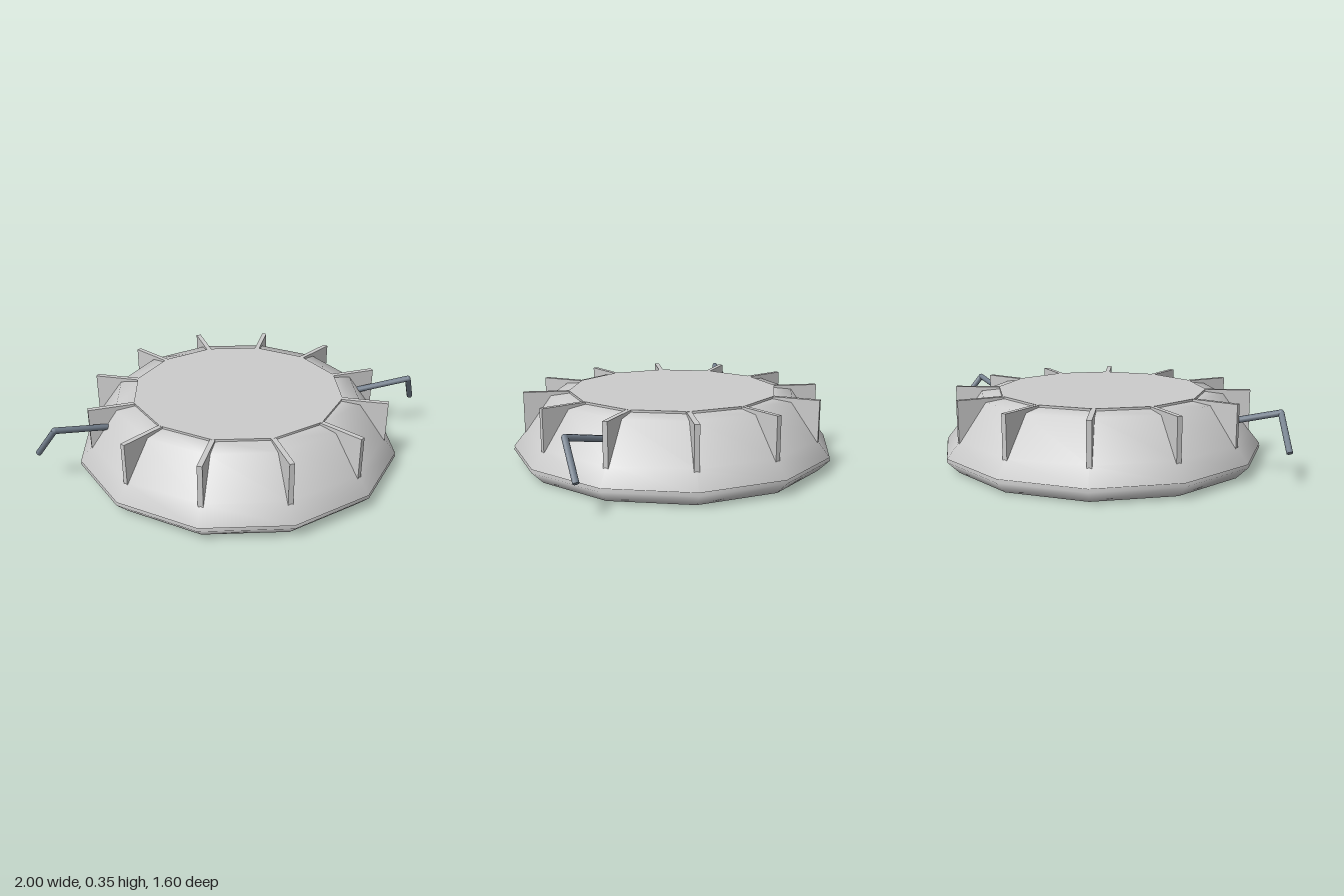
import * as THREE from 'three';

const SIDES = 12;

export function createModel() {
  const root = new THREE.Group();
  const grey = new THREE.MeshStandardMaterial({ color: 0xcccccc });
  const steel = new THREE.MeshStandardMaterial({ color: 0x75818f });

  function add(name, geometry, material = grey, parent = root) {
    const mesh = new THREE.Mesh(geometry, material);
    mesh.name = name;
    parent.add(mesh);
    return mesh;
  }

  // Twelve-sided body: tucked-in foot, steep wall, softly rounded shoulder
  const profile = [[0.775, 0.064], [0.798, 0.073], [0.735, 0.152], [0.61, 0.326], [0.515, 0.337]]
    .map(([r, y]) => new THREE.Vector2(r, y));
  add('body', new THREE.LatheGeometry(profile, SIDES));

  // Flat lid and underside closing the body
  add('topPlate', new THREE.CylinderGeometry(0.52, 0.52, 0.017, SIDES)).position.y = 0.3385;
  add('underside', new THREE.CircleGeometry(0.775, SIDES).rotateX(Math.PI / 2)).position.y = 0.064;

  // Diamond-section ring around the base
  add('baseRing', new THREE.TorusGeometry(0.742, 0.058, 4, SIDES).rotateX(Math.PI / 2)).position.y = 0.058;

  // Radial fins, one at each corner of the body
  const finShape = new THREE.BoxGeometry(0.58, 0.206, 0.024).translate(0.45, 0.243, 0);
  for (let i = 0; i < SIDES; i++) {
    add('fin', finShape).rotation.y = (i / SIDES) * Math.PI * 2;
  }

  // Bent handles on both sides: an arm out of the body and a drooping grip
  function rod(name, a, b, parent) {
    const mesh = add(name, new THREE.CylinderGeometry(0.015, 0.015, a.distanceTo(b), 8), steel, parent);
    mesh.position.copy(a).lerp(b, 0.5);
    mesh.quaternion.setFromUnitVectors(new THREE.Vector3(0, 1, 0), b.clone().sub(a).normalize());
  }
  for (const side of [1, -1]) {
    const handle = new THREE.Group();
    handle.name = side > 0 ? 'leftHandle' : 'rightHandle';
    const inner = new THREE.Vector3(side * 0.6, 0.234, 0);
    const elbow = new THREE.Vector3(side * 0.905, 0.31, 0.092);
    const tip = new THREE.Vector3(side * 0.987, 0.155, 0);
    rod('handleArm', inner, elbow, handle);
    rod('handleGrip', elbow, tip, handle);
    add('handleElbow', new THREE.SphereGeometry(0.015, 8, 6), steel, handle).position.copy(elbow);
    root.add(handle);
  }

  return root;
}
